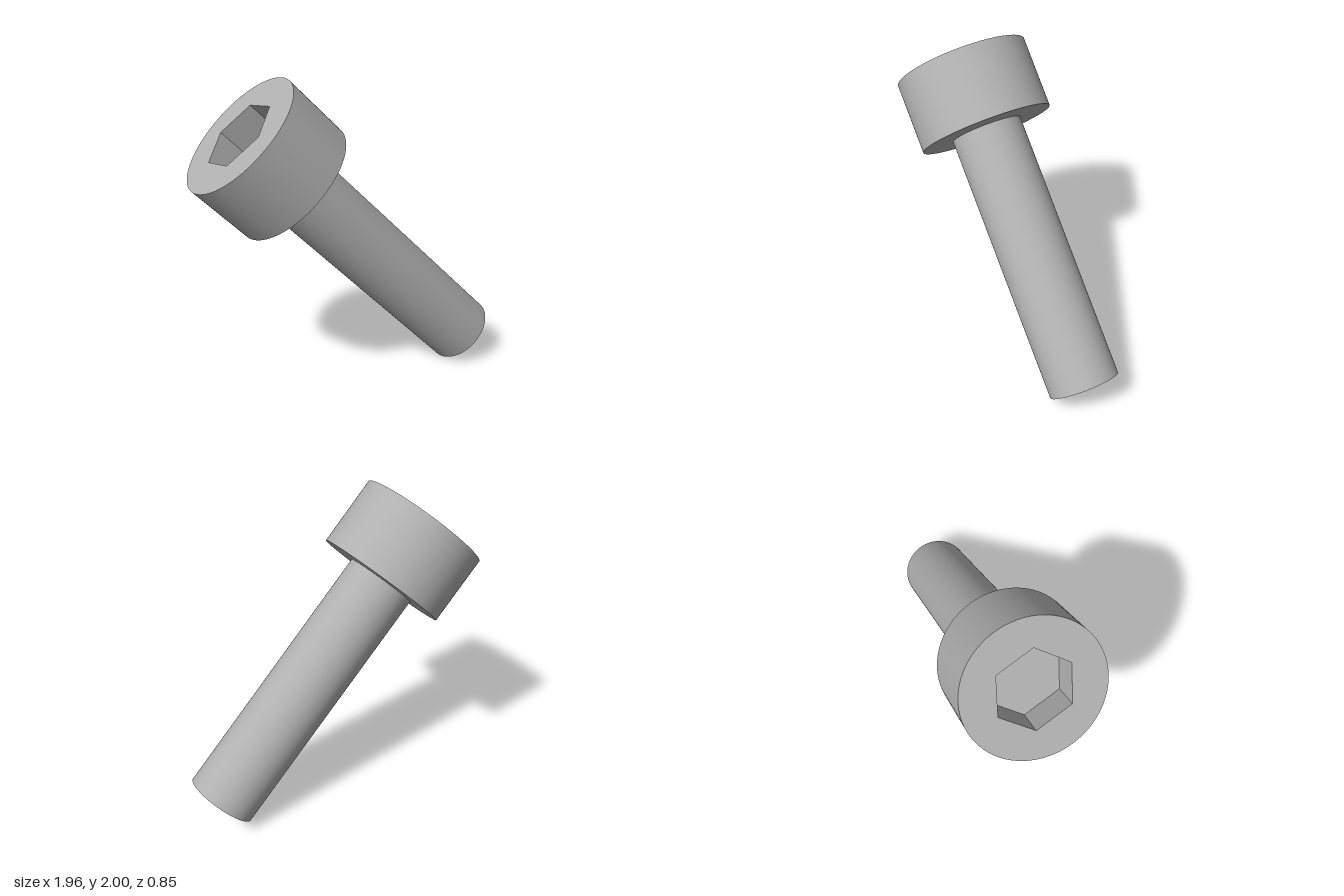
import * as THREE from 'three';
import { toCreasedNormals } from 'three/addons/utils/BufferGeometryUtils.js';

const HEAD_R = 0.4225, HEAD_H = 0.449, SHANK_R = 0.2245, LENGTH = 2.15;
const HEX_R = 0.244, HEX_DEPTH = 0.196, HEX_TURN = Math.PI / 12;
const SEGMENTS = 96;

export function createModel() {
  const steel = new THREE.MeshStandardMaterial({ color: 0xb0b0b0 });
  steel.name = 'steel grey';

  // The screw is built upright with its head face at y = 0, then tilted
  const screw = new THREE.Group();
  screw.name = 'socketHeadScrew';
  const add = (name, geometry) => {
    const mesh = new THREE.Mesh(geometry, steel);
    mesh.name = name;
    screw.add(mesh);
    return mesh;
  };
  const lathe = (points) => toCreasedNormals(
    new THREE.LatheGeometry(points.map(([x, y]) => new THREE.Vector2(x, y)), SEGMENTS), 0.5);

  // Shank with its flat end
  add('shank', lathe([[0, -LENGTH], [SHANK_R, -LENGTH], [SHANK_R, -HEAD_H]]));

  // Underside and side of the head
  add('head', lathe([[SHANK_R, -HEAD_H], [HEAD_R, -HEAD_H], [HEAD_R, 0]]));

  // Head face with a hexagonal opening
  const face = new THREE.Shape().absarc(0, 0, HEAD_R, 0, Math.PI * 2);
  const corners = [];
  for (let i = 0; i < 6; i++) {
    const a = -HEX_TURN - i * Math.PI / 3;
    corners.push(new THREE.Vector2(HEX_R * Math.cos(a), HEX_R * Math.sin(a)));
  }
  face.holes.push(new THREE.Path(corners));
  add('headFace', new THREE.ShapeGeometry(face, SEGMENTS).rotateX(-Math.PI / 2));

  // Socket walls: a hexagonal tube mirrored so that it faces inward
  const walls = new THREE.CylinderGeometry(HEX_R, HEX_R, HEX_DEPTH, 6, 1, true, HEX_TURN)
    .scale(1, -1, 1).translate(0, -HEX_DEPTH / 2, 0).toNonIndexed();
  walls.computeVertexNormals();
  add('socketWalls', walls);

  // Socket floor
  add('socketFloor', new THREE.CircleGeometry(HEX_R, 6, -HEX_TURN)
    .rotateX(-Math.PI / 2).translate(0, -HEX_DEPTH, 0));

  screw.rotation.z = THREE.MathUtils.degToRad(44);
  screw.position.set(-0.676, 1.706, 0);

  const model = new THREE.Group();
  model.name = 'screwModel';
  model.add(screw);
  return model;
}
